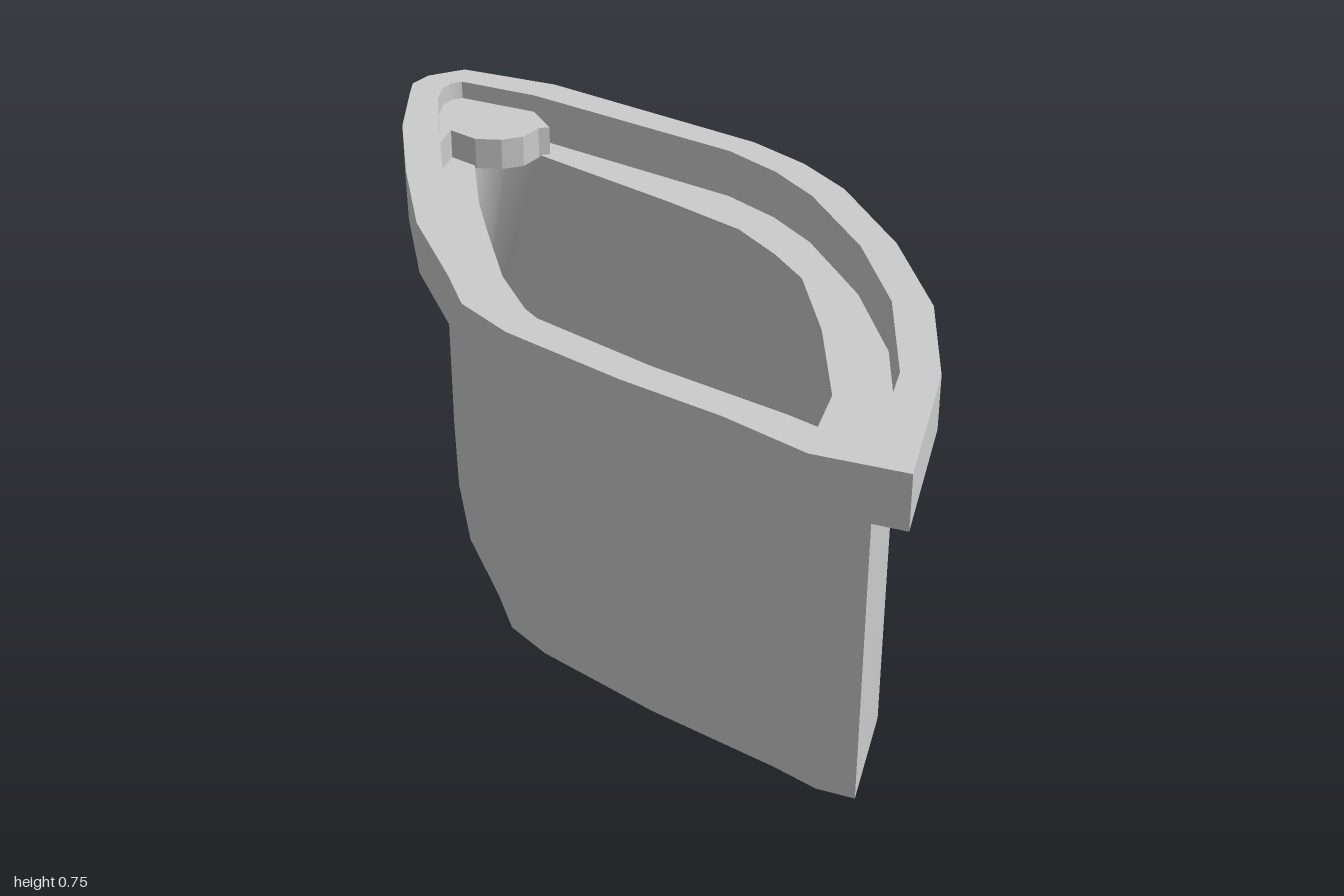
import * as THREE from 'three';
import { toCreasedNormals } from 'three/addons/utils/BufferGeometryUtils.js';

// Plan outlines as [x, z], all paired point by point, starting at the back
const OUTER = [[-.09, -1], [0, -1], [.15, -.82], [.4, -.32], [.44, -.17], [.45, -.02], [.41, .25],
  [.33, .51], [.2, .74], [-.02, 1], [-.14, .87], [-.21, .7], [-.31, .51], [-.42, .26],
  [-.45, .12], [-.43, 0], [-.4, -.25], [-.33, -.5], [-.25, -.74], [-.17, -.91], [-.14, -.97]];
const BODY = [[-.06, -.93], [-.035, -.93], [.08, -.78], [.33, -.3], [.365, -.16], [.373, -.02], [.34, .23],
  [.27, .46], [.14, .7], [-.02, .885], [-.07, .83], [-.11, .74], [-.24, .49], [-.35, .23],
  [-.375, .12], [-.355, 0], [-.33, -.22], [-.27, -.44], [-.18, -.7], [-.12, -.86], [-.09, -.91]];
const HOLE = [[-.05, -.73], [-.01, -.73], [.05, -.69], [.2, -.33], [.27, -.14], [.28, 0], [.275, .12],
  [.2, .33], [.09, .56], [-.02, .68], [-.07, .64], [-.14, .56], [-.2, .38], [-.25, .2],
  [-.265, .09], [-.275, 0], [-.26, -.15], [-.21, -.35], [-.17, -.5], [-.1, -.7], [-.08, -.72]];

const TOP = 0.755, UNDER = 0.645, LEDGE = 0.65;

export function createModel() {
  const group = new THREE.Group();
  const material = new THREE.MeshStandardMaterial({ color: 0xcccccc, side: THREE.DoubleSide });

  const add = (name, geometry) => {
    const mesh = new THREE.Mesh(geometry, material);
    mesh.name = name;
    group.add(mesh);
  };

  // Closed bands joining successive [outline, height] sections
  const loft = (sections) => {
    const pos = [];
    for (let s = 0; s < sections.length - 1; s++) {
      const [a, ya] = sections[s], [b, yb] = sections[s + 1];
      for (let i = 0; i < a.length; i++) {
        const j = (i + 1) % a.length;
        const p = [a[i][0], ya, a[i][1]], q = [a[j][0], ya, a[j][1]];
        const r = [b[i][0], yb, b[i][1]], t = [b[j][0], yb, b[j][1]];
        pos.push(...p, ...r, ...q, ...q, ...r, ...t);
      }
    }
    const geometry = new THREE.BufferGeometry();
    geometry.setAttribute('position', new THREE.Float32BufferAttribute(pos, 3));
    return toCreasedNormals(geometry, Math.PI / 4);
  };

  // Straight outer wall, sharp at the bottom edge
  add('outerWall', loft([[BODY, 0], [BODY, UNDER]]));
  // Overhanging rim with its recess
  add('rim', loft([[BODY, UNDER], [OUTER, UNDER], [OUTER, TOP], [BODY, TOP], [BODY, LEDGE]]));
  // Ledge inside the rim
  add('ledge', loft([[BODY, LEDGE], [HOLE, LEDGE]]));
  // Inner wall tapering out to the bottom edge
  add('innerWall', loft([[HOLE, LEDGE], [BODY, 0]]));

  // Raised tab filling the back corner of the recess
  const tabOutline = [[-.18, -.7], [-.13, -.76], [-.1, -.69], [-.05, -.66], [0, -.655], [.05, -.685],
    [.075, -.68], [.08, -.78], [-.035, -.93], [-.06, -.93], [-.09, -.91], [-.12, -.86]];
  const shape = new THREE.Shape(tabOutline.map(([x, z]) => new THREE.Vector2(x, -z)));
  const tab = new THREE.ExtrudeGeometry(shape, { depth: 0.07, bevelEnabled: false });
  tab.rotateX(-Math.PI / 2).translate(0, UNDER, 0);
  add('tab', tab);

  return group;
}
